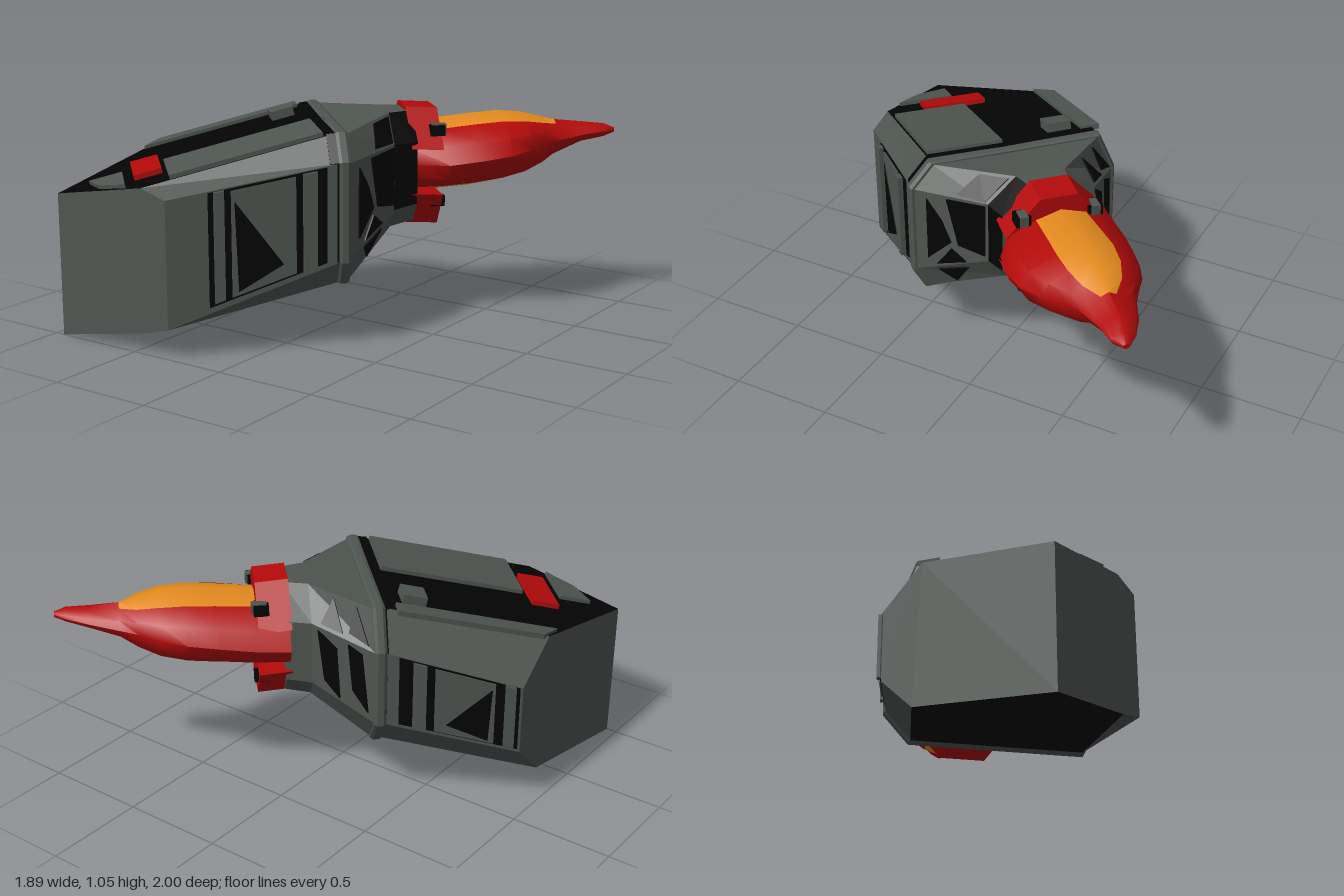
import * as THREE from 'three';
import { toCreasedNormals } from 'three/addons/utils/BufferGeometryUtils.js';

const mat = (name, color) => {
  const m = new THREE.MeshStandardMaterial({ color });
  m.name = name;
  return m;
};

// Points are [across, height, along]; along runs towards the pointed tip.
const V = ([t, y, s]) => new THREE.Vector3(t, y, -s);
const mix = (a, b, f) => a.map((v, i) => v + (b[i] - v) * f);

export function createModel() {
  const grey = mat('grey plating', 0x4f5551);
  const black = mat('black', 0x040404);
  const red = mat('red', 0xb30a0a);
  const orange = mat('orange', 0xe38a1e);

  const root = new THREE.Group();
  root.name = 'model';
  const craft = new THREE.Group();
  craft.name = 'diagonalBody';
  craft.rotation.y = -Math.PI / 4;
  root.add(craft);

  // Mesh from outward-facing polygons, one geometry group per material
  function polyMesh(name, polys, crease = 0) {
    const mats = [...new Set(polys.map((p) => p.m))];
    const pos = [];
    let geo = new THREE.BufferGeometry();
    mats.forEach((m, mi) => {
      const start = pos.length / 3;
      for (const p of polys.filter((q) => q.m === m)) {
        for (let i = 1; i < p.pts.length - 1; i++) {
          for (const q of [p.pts[0], p.pts[i], p.pts[i + 1]]) pos.push(...V(q).toArray());
        }
      }
      geo.addGroup(start, pos.length / 3 - start, mi);
    });
    geo.setAttribute('position', new THREE.Float32BufferAttribute(pos, 3));
    geo.computeVertexNormals();
    if (crease) geo = toCreasedNormals(geo, crease);
    const mesh = new THREE.Mesh(geo, mats.length > 1 ? mats : mats[0]);
    mesh.name = name;
    craft.add(mesh);
  }

  // Skin over sections ordered rear to tip, each clockwise seen from the rear
  function loft(secs, pick, rear = true) {
    const polys = [];
    const n = secs[0].length;
    for (let i = 0; i < secs.length - 1; i++) {
      for (let k = 0; k < n; k++) {
        const j = (k + 1) % n, a = secs[i], b = secs[i + 1];
        polys.push({ m: pick(i, k), pts: [a[k], a[j], b[j], b[k]] });
      }
    }
    if (rear) polys.push({ m: pick(0, 3), pts: [...secs[0]].reverse() });
    polys.push({ m: pick(secs.length - 2, 3), pts: secs.at(-1) });
    return polys;
  }

  // Thin raised plate on a polygon that runs counterclockwise from outside
  function plate(name, m, pts, h) {
    const [a, b, c] = pts.map(V);
    const n = b.sub(a).cross(c.sub(a)).normalize().multiplyScalar(h);
    const top = pts.map((p) => [p[0] + n.x, p[1] + n.y, p[2] - n.z]);
    const polys = [{ m, pts: top }];
    pts.forEach((p, i) => {
      const j = (i + 1) % pts.length;
      polys.push({ m, pts: [p, pts[j], top[j], top[i]] });
    });
    polyMesh(name, polys);
  }

  // u,v lookup on one face of a loft, u towards the tip, v around the section
  const faceOf = (a, b, k) => ([u, v]) => {
    const j = (k + 1) % a.length;
    return mix(mix(a[k], b[k], u), mix(a[j], b[j], u), v);
  };
  const rect = (u0, u1, v0, v1) => [[u0, v0], [u0, v1], [u1, v1], [u1, v0]];

  // Hull: ten-sided front section, rear cut off by two walls meeting in a corner
  const ring = (s, pts) => pts.map(([t, y]) => [t, y, s]);
  const big = [[0.4, 1], [0.5, 0.88], [0.5, 0.42], [0.44, 0.31], [0.035, 0.31],
    [-0.39, 0.31], [-0.51, 0.45], [-0.51, 0.82], [-0.43, 1.01], [0.035, 1]];
  const rearPts = [[0.4, 0.78], [0.5, 0.74], [0.5, 0.14], [0.4, 0.1], [0.035, 0],
    [-0.48, 0.13], [-0.6, 0.3], [-0.6, 0.64], [-0.45, 0.82], [0.035, 0.69]];
  const hullRear = rearPts.map(([t, y]) => [t, y, t >= 0.035 ? t - 1.414 : -1.343 - t]);
  const hullFront = ring(-0.12, big);
  const wall = (ids) => ({ m: grey, pts: ids.map((i) => hullRear[i]).reverse() });
  polyMesh('hull', [
    ...loft([hullRear, hullFront], (i, k) => ([3, 4, 8, 9].includes(k) ? black : grey), false),
    wall([9, 0, 1, 2, 3, 4]), wall([9, 4, 5, 6, 7, 8]),
  ]);

  // Side panels, with strips and angular dark patches
  for (const [side, k, flip, h, us] of [
    ['right', 1, false, 0.03, [0.24, 0.27, 0.33, 0.37, 0.74, 0.78, 0.86, 0.92]],
    ['left', 6, true, 0.022, [0.02, 0.05, 0.13, 0.2, 0.64, 0.7, 0.8, 0.9]],
  ]) {
    const f = faceOf(hullRear, hullFront, k);
    const put = (name, m, uv, height) => {
      const p = uv.map(([u, v]) => f([u, flip ? 1 - v : v]));
      plate(name, m, flip ? p.reverse() : p, height);
    };
    put(side + 'PanelRecess', black, rect(us[0], us[7], 0.01, 0.95), 0.006);
    put(side + 'RearStrip', grey, rect(us[1], us[2], 0.01, 0.92), h);
    put(side + 'FrontStrip', grey, rect(us[5], us[6], 0.02, 0.95), h);
    put(side + 'Panel', grey, rect(us[3], us[4], 0.03, 0.93), 0.014);
    const d = us[4] - us[3];
    put(side + 'PanelPatch', black,
      [[us[3] + d * 0.05, 0.12], [us[3] + d * 0.1, 0.9], [us[3] + d * 0.8, 0.8]], 0.018);
  }

  // Deck fittings
  const deckY = (s) => 1 + 0.246 * (s + 0.12);
  const deck = (name, m, pts, h) => plate(name, m, pts.map(([t, s]) => [t, deckY(s), s]), h);
  const box = (t0, t1, s0, s1) => [[t0, s0], [t1, s0], [t1, s1], [t0, s1]];
  deck('deckPanel', grey, box(0.02, 0.39, -0.88, -0.18), 0.02);
  deck('redHatch', red, box(-0.1, 0.22, -1.03, -0.9), 0.025);
  deck('rearDeckPanel', grey, [[0.035, -1.23], [0.19, -1.19], [0.32, -1.075], [0.035, -1.075]], 0.018);
  deck('deckBlock', grey, box(-0.34, -0.22, -0.33, -0.22), 0.05);
  deck('deckRidge', grey, [[-0.47, -0.86], [-0.38, -0.945], [-0.38, -0.18], [-0.47, -0.18]], 0.025);

  // Collar with a dark groove behind it
  const grow = (f) => big.map(([t, y]) => [(t + 0.02) * f - 0.02, 0.66 + (y - 0.66) * f]);
  polyMesh('collarGroove', loft([ring(-0.17, grow(0.99)), ring(-0.12, grow(1.005))], () => black));
  polyMesh('collar', loft([ring(-0.13, grow(1.0)), ring(-0.115, grow(1.02)),
    ring(-0.085, grow(1.02)), ring(-0.07, grow(1))], () => grey));

  // Tapering neck
  const small = [[0.03, 1.03], [0.17, 0.9], [0.17, 0.6], [0.08, 0.5], [-0.06, 0.5],
    [-0.2, 0.5], [-0.29, 0.6], [-0.29, 0.9], [-0.14, 1.03], [-0.05, 1.03]];
  const neckRear = ring(-0.075, grow(0.985));
  const neckMid = ring(0.19, big.map((p, i) => mix(p, small[i], 0.9)));
  const neckFront = ring(0.31, small);
  polyMesh('neck', loft([neckRear, neckMid, neckFront],
    (i, k) => (i === 1 && (k === 1 || k === 0) ? black : grey)));

  // Angular dark patches on the neck's slanting faces
  const patches = [
    [1, [[0.18, 0.08], [0.18, 0.86], [0.5, 0.66], [0.38, 0.35]]],
    [1, [[0.45, 0.04], [0.6, 0.7], [0.96, 0.9], [0.97, 0.04]]],
    [1, [[0.3, 0.95], [0.7, 0.97], [0.5, 0.75]]],
    [6, [[0.1, 0.1], [0.2, 0.9], [0.42, 0.95], [0.35, 0.3]]],
    [6, [[0.55, 0.05], [0.6, 0.8], [0.9, 0.95], [0.8, 0.2]]],
    [0, [[0.6, 0.1], [0.55, 0.9], [0.95, 0.95], [0.95, 0.1]]],
    [7, [[0.1, 0.1], [0.25, 0.9], [0.4, 0.2]]],
    [7, [[0.5, 0.1], [0.6, 0.9], [0.85, 0.1]]],
    [2, [[0.3, 0.1], [0.4, 0.9], [0.7, 0.2]]],
  ];
  patches.forEach(([k, uv]) => {
    const pts = uv.map(faceOf(neckRear, neckMid, k));
    const [a, b, c] = pts.map(V);
    const out = new THREE.Vector3(a.x + 0.05, a.y - 0.7, 0);
    const inward = b.sub(a).cross(c.sub(a)).dot(out) < 0;
    plate('neckPatch', black, inward ? pts.reverse() : pts, 0.008);
  });

  // Red clamps above and below, with small latches
  const clamps = {
    upperClamp: [[-0.32, 0.87], [-0.15, 1.05], [0.03, 1.05], [0.19, 0.87]],
    lowerClamp: [[0.18, 0.65], [0.06, 0.485], [-0.17, 0.485], [-0.31, 0.65]],
  };
  for (const [name, p] of Object.entries(clamps)) {
    polyMesh(name, loft([ring(0.28, p), ring(0.435, p.map(([t, y]) => [t, y - 0.01]))], () => red));
  }
  for (const t of [-0.23, 0.11]) {
    for (const [name, m, w, y, s] of [['latch', black, 0.07, 0.945, 0.415],
      ['latchPin', grey, 0.04, 0.95, 0.425], ['lowerLatch', black, 0.05, 0.6, 0.42]]) {
      const latch = new THREE.Mesh(new THREE.BoxGeometry(w, 0.05, 0.07), m);
      latch.name = name;
      latch.position.set(t, y, -s);
      craft.add(latch);
    }
  }

  // Beak: [along, left, right, middle, top, bottom, half width of the orange crown]
  const beak = [
    [0.29, -0.365, 0.13, 0.78, 0.96, 0.62, 0.12],
    [0.46, -0.36, 0.225, 0.79, 0.975, 0.62, 0.12],
    [0.62, -0.35, 0.245, 0.81, 0.99, 0.63, 0.125],
    [0.76, -0.33, 0.228, 0.825, 1.0, 0.65, 0.13],
    [0.88, -0.295, 0.165, 0.84, 0.99, 0.68, 0.12],
    [0.98, -0.24, 0.08, 0.855, 0.965, 0.725, 0.09],
    [1.06, -0.2, 0.045, 0.86, 0.945, 0.77, 0.035],
    [1.2, -0.155, 0.02, 0.88, 0.93, 0.83, 0.03],
    [1.31, -0.1, 0.01, 0.89, 0.92, 0.855, 0.02],
    [1.36, -0.055, -0.025, 0.89, 0.9, 0.875, 0.01],
  ].map(([s, l, r, m, top, bot, w]) => {
    const c = s < 1.1 ? -0.07 : (l + r) / 2;
    const at = (edge, f) => c + Math.sign(edge - c) * (w + (Math.abs(edge - c) - w) * f);
    const y = (end, f) => m + (end - m) * f;
    return ring(s, [[c - w, y(top, 0.8)], [c, top], [c + w, y(top, 0.8)],
      [at(r, 0.75), y(top, 0.45)], [r, m], [at(r, 0.75), y(bot, 0.45)],
      [c + w, y(bot, 0.8)], [c, bot], [c - w, y(bot, 0.8)],
      [at(l, 0.75), y(bot, 0.45)], [l, m], [at(l, 0.75), y(top, 0.45)]]);
  });
  polyMesh('beak', loft(beak, (i, k) => (i < 6 && [0, 1, 6, 7].includes(k) ? orange : red)), 0.75);

  return root;
}
